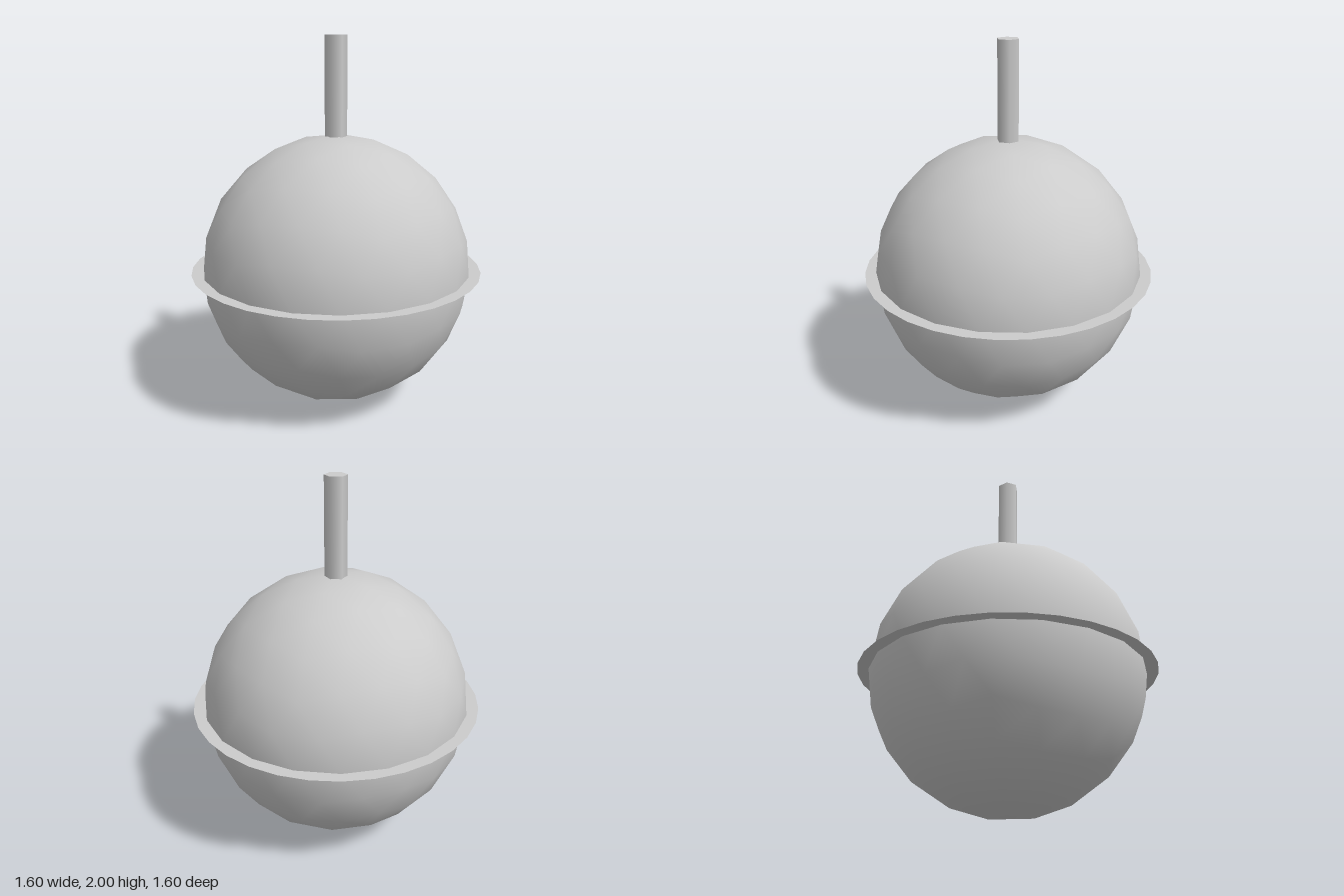
import * as THREE from 'three';

const RADIUS = 0.74;
const CENTRE_Y = 0.742;

// Geodesic sphere with a corner at each pole, halved and rounded twice
function geodesicSphere(radius, halvings) {
  const h = 1 / Math.sqrt(5), w = 2 * h;
  let points = [0, 1, 0];
  for (let i = 0; i < 5; i++) {
    const a = (i * 2 * Math.PI) / 5;
    points.push(w * Math.cos(a), h, w * Math.sin(a));
  }
  for (let i = 0; i < 5; i++) {
    const a = ((i + 0.5) * 2 * Math.PI) / 5;
    points.push(w * Math.cos(a), -h, w * Math.sin(a));
  }
  points.push(0, -1, 0);

  let faces = [];
  for (let i = 0; i < 5; i++) {
    const j = (i + 1) % 5;
    const u = 1 + i, un = 1 + j, l = 6 + i, ln = 6 + j;
    faces.push(0, un, u, u, un, l, un, ln, l, 11, l, ln);
  }

  let geometry;
  for (let n = 0; n < halvings; n++) {
    geometry = new THREE.PolyhedronGeometry(points, faces, radius, 1);
    points = Array.from(geometry.attributes.position.array);
    faces = Array.from({ length: points.length / 3 }, (_, i) => i);
  }
  return geometry;
}

export function createModel() {
  const group = new THREE.Group();
  const grey = new THREE.MeshStandardMaterial({ color: 0xcccccc });
  const thinGrey = new THREE.MeshStandardMaterial({ color: 0xcccccc, side: THREE.DoubleSide });

  const add = (name, geometry, material, y) => {
    const mesh = new THREE.Mesh(geometry, material);
    mesh.name = name;
    mesh.position.y = y;
    group.add(mesh);
  };

  // Round body
  add('ball', geodesicSphere(RADIUS, 2), grey, CENTRE_Y);

  // Paper-thin flange round the middle
  const flange = new THREE.RingGeometry(0.68, 0.8, 32).rotateX(-Math.PI / 2);
  add('flange', flange, thinGrey, CENTRE_Y);

  // Six-sided stem, sunk a little into the ball, corners on the x axis
  const bottom = 1.4, top = 2;
  const stem = new THREE.CylinderGeometry(0.06, 0.06, top - bottom, 6).rotateY(Math.PI / 2);
  add('stem', stem, grey, (top + bottom) / 2);

  return group;
}
